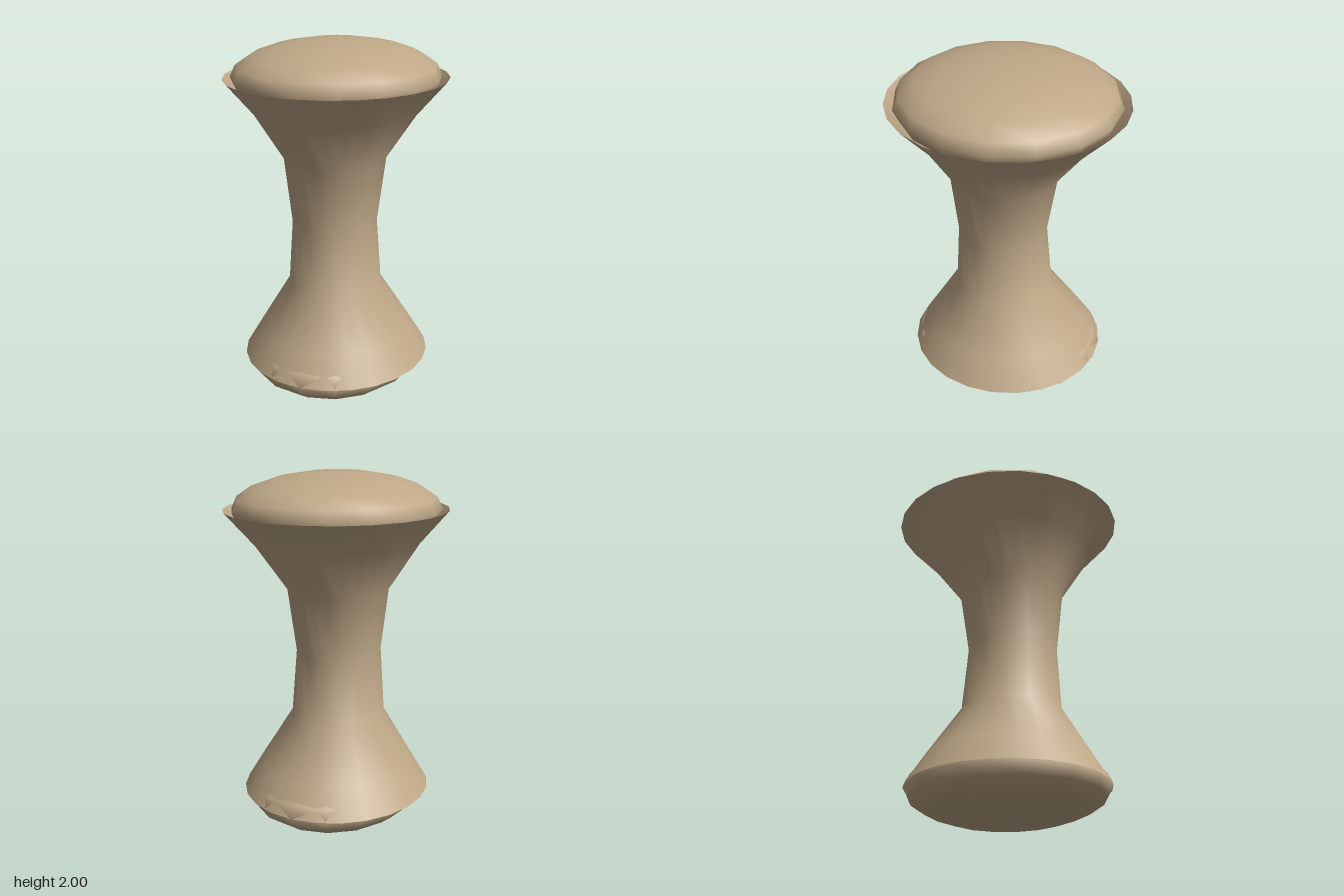
import * as THREE from 'three';
import { mergeVertices } from 'three/addons/utils/BufferGeometryUtils.js';

export function createModel() {
  const group = new THREE.Group();
  const material = new THREE.MeshStandardMaterial({ color: 0xbfa888, side: THREE.DoubleSide });

  function add(name, geometry) {
    const mesh = new THREE.Mesh(geometry, material);
    mesh.name = name;
    group.add(mesh);
    return mesh;
  }

  // Open, waisted body: [radius in x, height, z offset], slightly deeper than wide
  const rings = [
    [0.525, 0.2, 0], [0.43, 0.36, 0.005], [0.26, 0.64, 0.021], [0.235, 1.0, 0.028],
    [0.28, 1.36, 0.021], [0.45, 1.62, 0.005], [0.605, 1.8, 0],
  ];
  let body = new THREE.LatheGeometry(rings.map(([r, y]) => new THREE.Vector2(r, y)), 24);
  const pos = body.attributes.position;
  for (let i = 0; i < pos.count; i++) {
    pos.setZ(i, pos.getZ(i) * 1.06 + rings[i % rings.length][2]);
  }
  // Weld the seam so the wall shades smoothly all round
  body.deleteAttribute('uv');
  body.deleteAttribute('normal');
  body = mergeVertices(body, 1e-4);
  body.computeVertexNormals();
  add('waistedBody', body);

  // Flattened ellipsoids closing each end
  function addCushion(name, y, rx, ry, rz) {
    const geometry = new THREE.SphereGeometry(1, 16, 10);
    geometry.scale(rx, ry, rz);
    add(name, geometry).position.y = y;
  }
  addCushion('seatCushion', 1.8, 0.565, 0.2, 0.598);
  addCushion('roundedFoot', 0.2, 0.485, 0.195, 0.557);

  return group;
}
